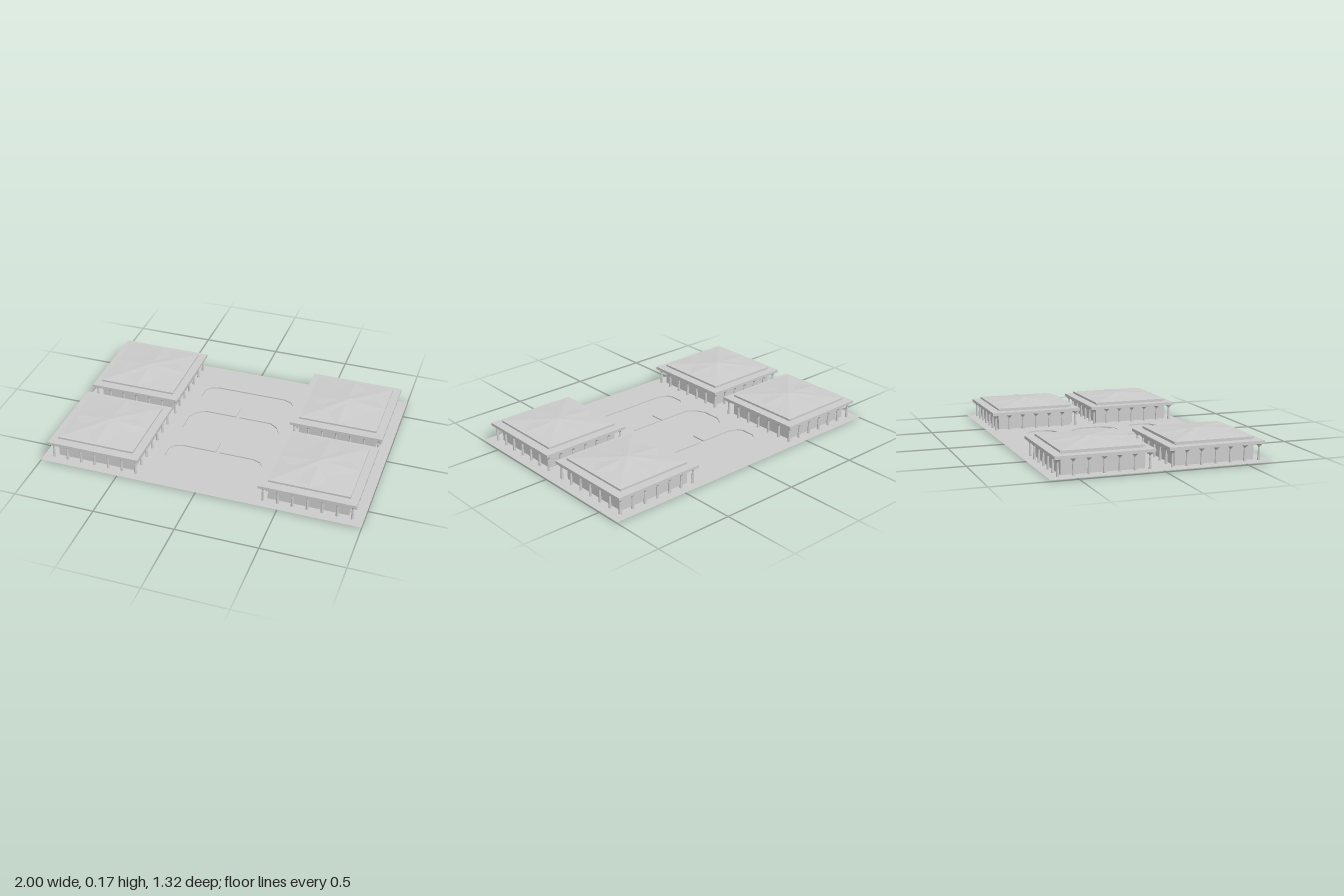
import * as THREE from 'three';

const GROUND = 0.008;
const grey = new THREE.MeshStandardMaterial({ color: 0xcccccc, flatShading: true });
const thin = new THREE.MeshStandardMaterial({ color: 0xcccccc, flatShading: true, side: THREE.DoubleSide });

function add(parent, name, geometry, material = grey) {
  const mesh = new THREE.Mesh(geometry, material);
  mesh.name = name;
  parent.add(mesh);
  return mesh;
}

// Square slab between two heights
function slab(parent, name, half, y0, y1) {
  add(parent, name, new THREE.BoxGeometry(2 * half, y1 - y0, 2 * half)).position.y = (y0 + y1) / 2;
}

// Four-sided pyramid; turn 0 gives a diamond, PI / 4 an axis-aligned square
function pyramid(parent, name, radius, y0, y1, turn) {
  const mesh = add(parent, name, new THREE.ConeGeometry(radius, y1 - y0, 4));
  mesh.position.y = (y0 + y1) / 2;
  mesh.rotation.y = turn;
}

// Tapered column with a flared capital
const columnGeometry = new THREE.LatheGeometry([
  [0, GROUND], [0.009, GROUND], [0.008, 0.03], [0.0055, 0.085],
  [0.009, 0.092], [0.019, 0.103], [0.019, 0.108], [0, 0.108],
].map(([r, y]) => new THREE.Vector2(r, y)), 8);

function createPavilion() {
  const pavilion = new THREE.Group();
  pavilion.name = 'pavilion';
  slab(pavilion, 'walls', 0.244, GROUND, 0.11);
  slab(pavilion, 'eaves', 0.292, 0.106, 0.124);
  slab(pavilion, 'roofNeck', 0.235, 0.124, 0.131);
  slab(pavilion, 'roofSlab', 0.245, 0.131, 0.143);

  // Three nested pyramids, each turned by an eighth
  pyramid(pavilion, 'lowerRoof', 0.245 * Math.SQRT2, 0.143, 0.163, Math.PI / 4);
  pyramid(pavilion, 'middleRoof', 0.245, 0.149, 0.166, 0);
  pyramid(pavilion, 'upperRoof', 0.1225 * Math.SQRT2, 0.1535, 0.168, Math.PI / 4);

  // Colonnade, seven columns to a side
  const colonnade = new THREE.Group();
  colonnade.name = 'colonnade';
  for (let i = -3; i <= 3; i++) {
    for (let j = -3; j <= 3; j++) {
      if (Math.max(Math.abs(i), Math.abs(j)) < 3) continue;
      add(colonnade, 'column', columnGeometry).position.set(i * 0.089, 0, j * 0.089);
    }
  }
  pavilion.add(colonnade);
  return pavilion;
}

// Three basins joined by narrow channels, mirrored from one quarter
function basinOutline() {
  const quarter = [
    [0.23, -0.435], [0.28, -0.415], [0.3, -0.38], [0.3, -0.3], [0.28, -0.265], [0.23, -0.245],
    [0.012, -0.245], [0.012, -0.15], [0.22, -0.15], [0.27, -0.115], [0.3, -0.06],
  ];
  const half = [...quarter, ...quarter.map(([x, z]) => [x, -z]).reverse()];
  const full = [...half, ...half.map(([x, z]) => [-x, z]).reverse()];
  return full.map(([x, z]) => new THREE.Vector2(x, z));
}

function createCourt() {
  const court = new THREE.Group();
  court.name = 'court';
  const outline = basinOutline();

  // Ground sheet with the basin cut out
  const sheet = new THREE.Shape([[-1, -0.66], [1, -0.66], [1, 0.66], [-1, 0.66]]
    .map(([x, z]) => new THREE.Vector2(x, z)));
  sheet.holes.push(new THREE.Path(outline));
  add(court, 'ground', new THREE.ShapeGeometry(sheet).rotateX(-Math.PI / 2), thin).position.y = GROUND;
  add(court, 'basinFloor', new THREE.ShapeGeometry(new THREE.Shape(outline)).rotateX(-Math.PI / 2), thin);

  // Basin walls
  const positions = [];
  outline.forEach((a, i) => {
    const b = outline[(i + 1) % outline.length];
    positions.push(a.x, 0, a.y, b.x, 0, b.y, b.x, GROUND, b.y);
    positions.push(a.x, 0, a.y, b.x, GROUND, b.y, a.x, GROUND, a.y);
  });
  const walls = new THREE.BufferGeometry();
  walls.setAttribute('position', new THREE.Float32BufferAttribute(positions, 3));
  walls.computeVertexNormals();
  add(court, 'basinWalls', walls, thin);
  return court;
}

export function createModel() {
  const model = new THREE.Group();
  model.name = 'pavilionCourt';
  model.add(createCourt());
  for (const x of [-0.666, 0.666]) {
    for (const z of [-0.333, 0.333]) {
      const pavilion = createPavilion();
      pavilion.position.set(x, 0, z);
      model.add(pavilion);
    }
  }
  return model;
}
